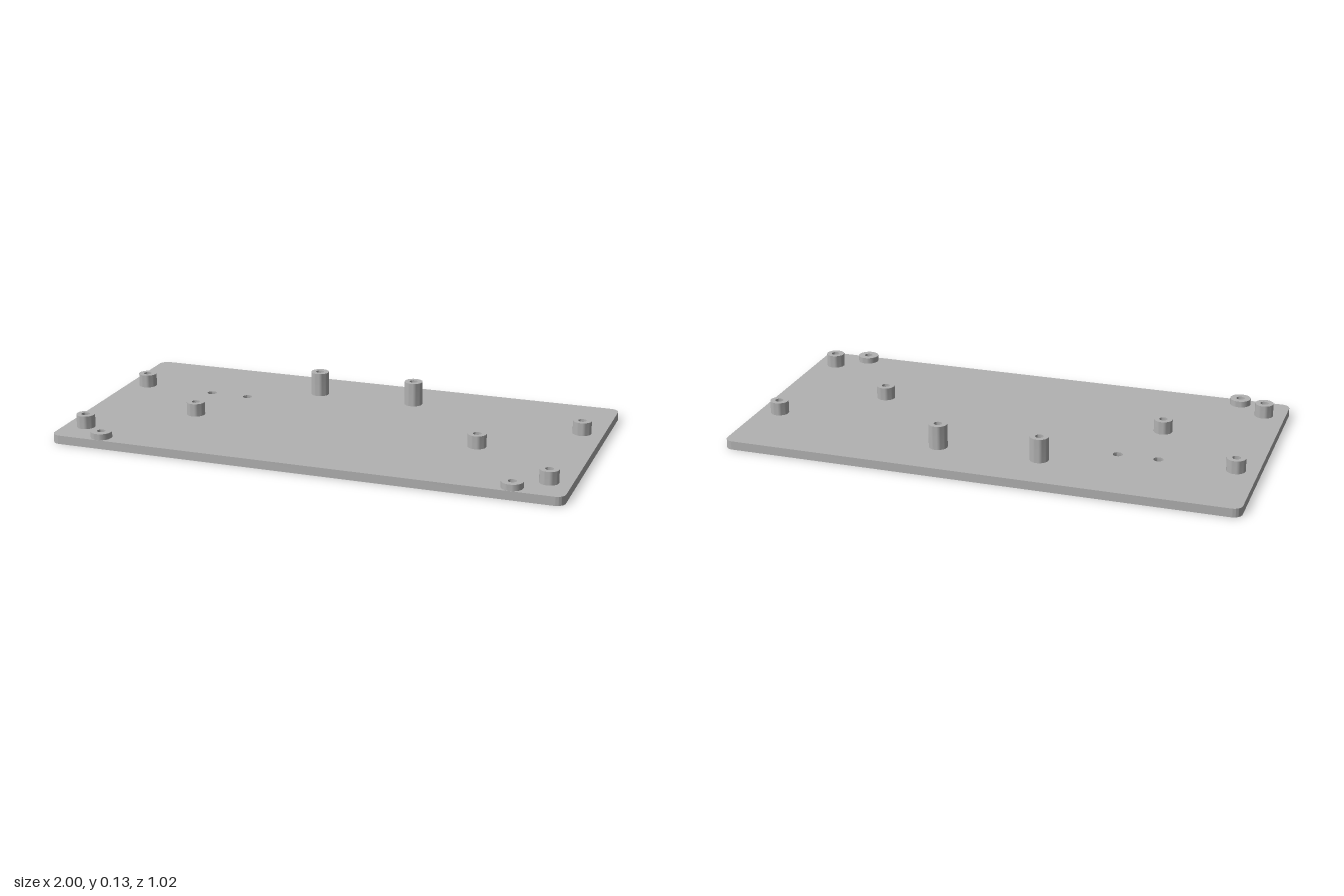
import * as THREE from 'three';
import { toCreasedNormals } from 'three/addons/utils/BufferGeometryUtils.js';

const HALF_X = 1, HALF_Z = 0.51, THICK = 0.034, CORNER = 0.035;
const SINK = 0.024; // hole radius on the underside
const BORE = 0.016;

// mirrored standoffs: x, z, outer radius, top height
const STANDOFFS = [
  ['rearSideStandoff', 0.916, -0.183, 0.036, 0.085],
  ['frontSideStandoff', 0.916, 0.376, 0.036, 0.085],
  ['middleStandoff', 0.575, 0.096, 0.036, 0.085],
  ['tallStandoff', 0.2, -0.311, 0.036, 0.128],
  ['lowSpacer', 0.804, 0.468, 0.041, 0.058],
];
// plain through holes: x, z
const PLAIN_HOLES = [[-0.622, -0.174], [-0.466, -0.174]];

export function createModel() {
  const group = new THREE.Group();
  const grey = new THREE.MeshStandardMaterial({ color: 0xb2b2b2 });
  grey.name = 'grey plastic';

  const add = (name, geometry, x = 0, z = 0) => {
    const mesh = new THREE.Mesh(toCreasedNormals(geometry, 0.6), grey);
    mesh.name = name;
    mesh.position.set(x, 0, z);
    group.add(mesh);
  };

  // plate outline with rounded corners, drawn with y = -z
  const plate = new THREE.Shape();
  const cx = HALF_X - CORNER, cz = HALF_Z - CORNER, q = Math.PI / 2;
  [[cx, cz], [-cx, cz], [-cx, -cz], [cx, -cz]].forEach(([x, y], i) =>
    plate.absarc(x, y, CORNER, i * q, (i + 1) * q, false));
  plate.closePath();

  const drill = (x, z) => {
    const hole = new THREE.Path();
    hole.absarc(x, -z, SINK, 0, Math.PI * 2, true);
    plate.holes.push(hole);
  };

  // hollow standoffs, bored through the plate and countersunk below
  for (const [name, px, z, radius, top] of STANDOFFS) {
    for (const side of [-1, 1]) {
      drill(side * px, z);
      const profile = [
        [radius, THICK], [radius, top], [BORE, top], [BORE, 0.012], [SINK, 0],
      ].map(([r, y]) => new THREE.Vector2(r, y));
      add(name + (side > 0 ? 'Left' : 'Right'), new THREE.LatheGeometry(profile, 32), side * px, z);
    }
  }

  // linings of the two plain holes
  PLAIN_HOLES.forEach(([x, z], i) => {
    drill(x, z);
    const profile = [[SINK, THICK], [0.019, THICK], [0.019, 0.012], [SINK, 0]]
      .map(([r, y]) => new THREE.Vector2(r, y));
    add('holeLining' + (i + 1), new THREE.LatheGeometry(profile, 32), x, z);
  });

  // base plate
  const base = new THREE.ExtrudeGeometry(plate, { depth: THICK, bevelEnabled: false, curveSegments: 16 });
  base.rotateX(-Math.PI / 2);
  add('basePlate', base);

  return group;
}
